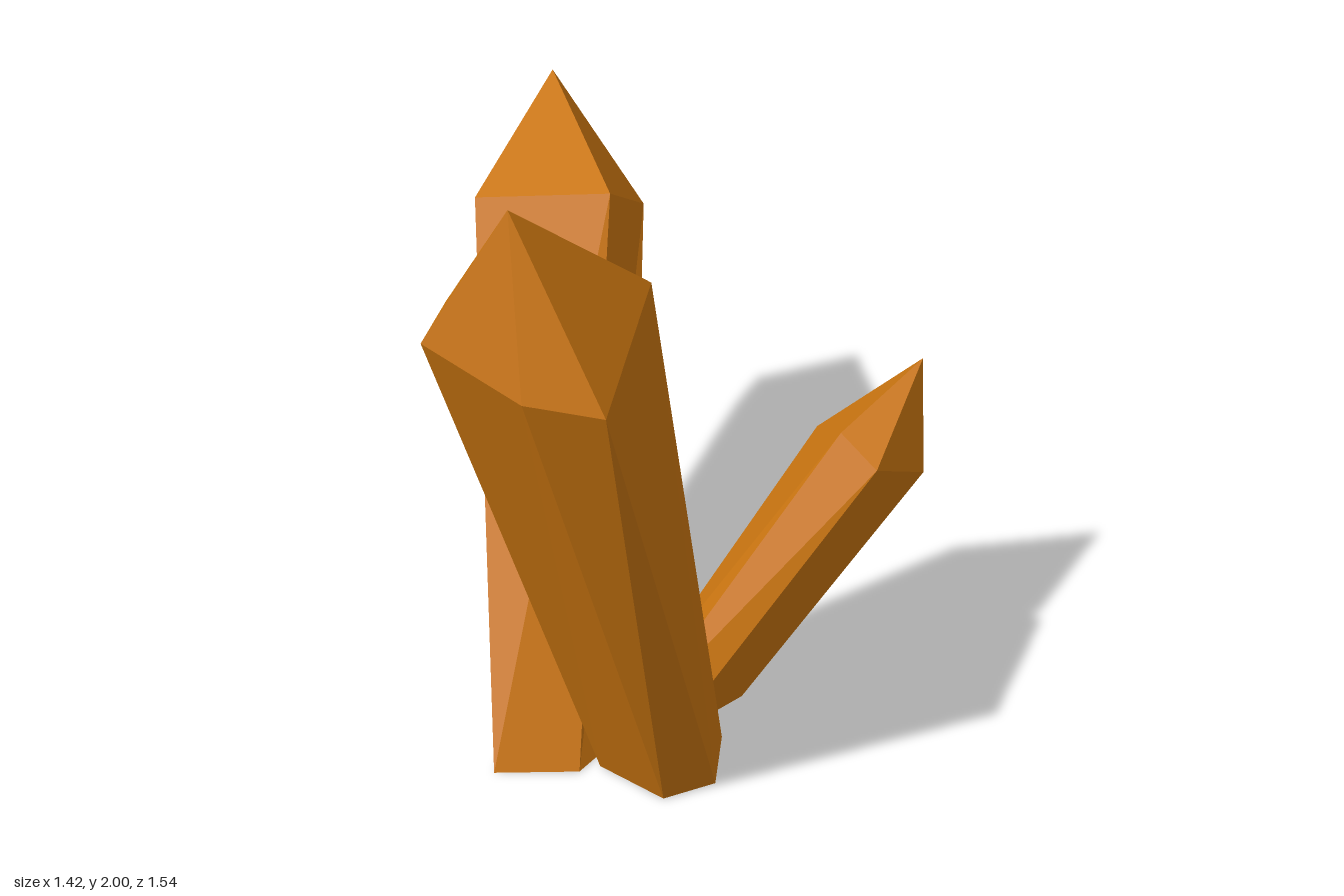
import * as THREE from 'three';

const material = new THREE.MeshStandardMaterial({ color: 0xc87410, flatShading: true });

// Six-sided crystal: ground ring [x, z], shoulder ring [x, y, z] and a pointed tip.
// Both rings run counterclockwise as seen from above.
function crystal(name, base, shoulder, tip) {
  const positions = [];
  const tri = (...points) => points.forEach((p) => positions.push(...p));
  const foot = base.map(([x, z]) => [x, 0, z]);
  const n = foot.length;
  const centre = [0, 1, 2].map((k) => foot.reduce((sum, p) => sum + p[k], 0) / n);

  for (let i = 0; i < n; i++) {
    const j = (i + 1) % n;
    tri(foot[i], foot[j], shoulder[j]); // side
    tri(foot[i], shoulder[j], shoulder[i]);
    tri(shoulder[i], shoulder[j], tip); // point
    tri(foot[j], foot[i], centre); // underside
  }

  const geometry = new THREE.BufferGeometry();
  geometry.setAttribute('position', new THREE.Float32BufferAttribute(positions, 3));
  geometry.computeVertexNormals();
  const mesh = new THREE.Mesh(geometry, material);
  mesh.name = name;
  return mesh;
}

export function createModel() {
  const group = new THREE.Group();
  group.name = 'crystalCluster';

  // Tall crystal leaning to the front
  group.add(crystal('tallCrystal',
    [[0.235, 0.25], [0.445, 0.25], [0.53, 0.12], [0.45, -0.04], [0.29, 0], [0.225, 0.13]],
    [[0.11, 1.68, 0.77], [0.36, 1.6, 0.74], [0.53, 1.59, 0.665],
      [0.42, 1.72, 0.33], [0.05, 1.62, 0.25], [0.025, 1.65, 0.575]],
    [0.25, 2, 0.63]));

  // Wide crystal leaning to the back right
  group.add(crystal('wideCrystal',
    [[0.01, 0.44], [0.2, 0.3], [0.22, 0.08], [0.1, 0.02], [0, 0.09], [-0.02, 0.27]],
    [[-0.565, 1.29, -0.285], [-0.18, 1.39, -0.38], [-0.24, 1.21, -0.635],
      [-0.595, 1.07, -0.775], [-0.715, 1.09, -0.72], [-0.705, 1.11, -0.535]],
    [-0.625, 1.47, -0.735]));

  // Short crystal leaning to the back left
  group.add(crystal('shortCrystal',
    [[0.15, 0.02], [0.21, 0.1], [0.33, 0.05], [0.41, -0.21], [0.29, -0.26], [0.14, -0.1]],
    [[0.41, 0.77, -0.54], [0.55, 0.89, -0.41], [0.68, 0.84, -0.38],
      [0.71, 0.7, -0.61], [0.46, 0.6, -0.715], [0.385, 0.68, -0.62]],
    [0.625, 0.99, -0.71]));

  return group;
}
